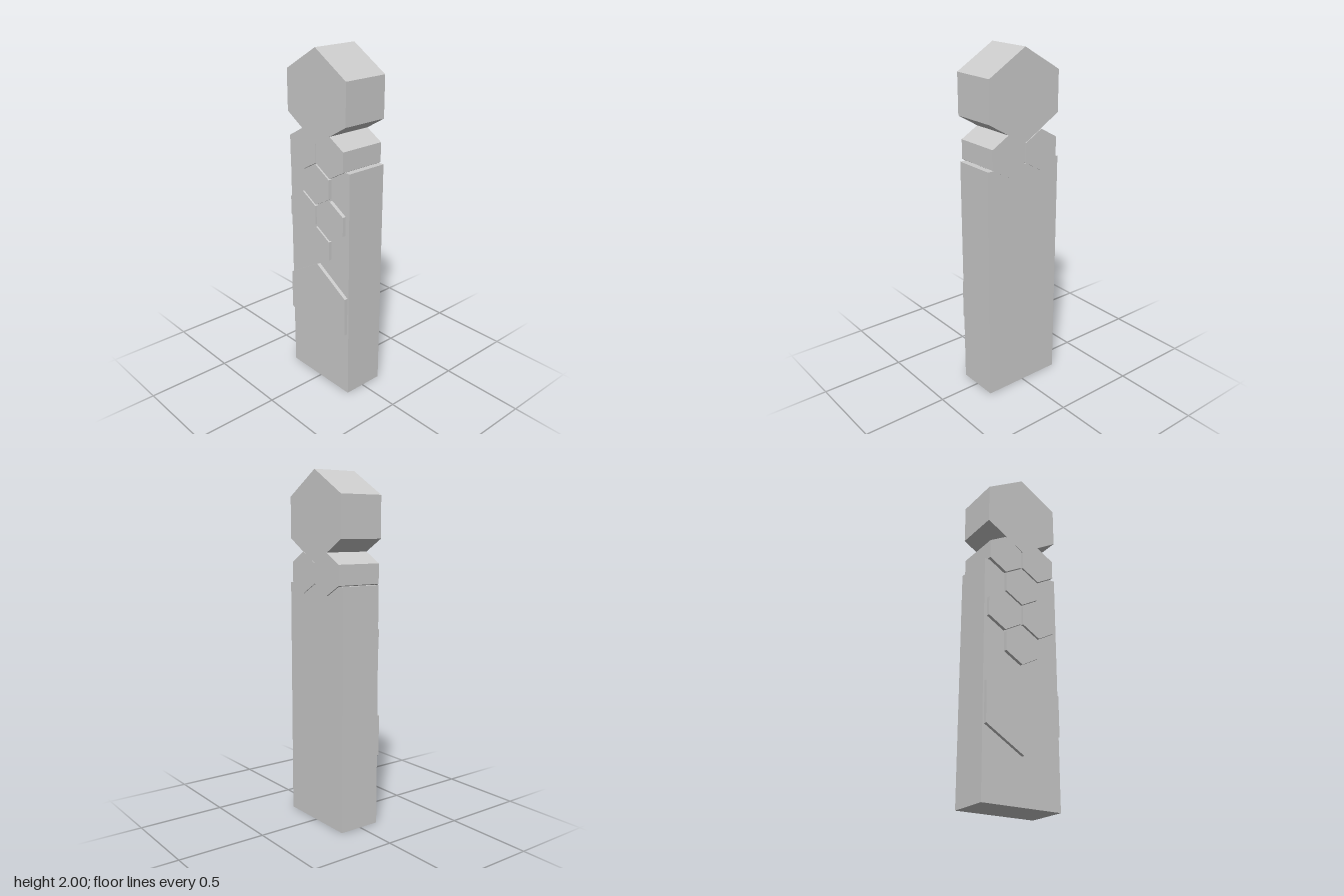
import * as THREE from 'three';

const material = new THREE.MeshStandardMaterial({ color: 0xcccccc, flatShading: true });

// Pointy-topped hexagonal prism, its axis along x from x0 to x1
function hexPrism(name, { halfWidth, halfFlat, halfHeight }, y, z, x0, x1) {
  const shape = new THREE.Shape([
    [0, -halfHeight], [halfWidth, -halfFlat], [halfWidth, halfFlat],
    [0, halfHeight], [-halfWidth, halfFlat], [-halfWidth, -halfFlat],
  ].map(([a, b]) => new THREE.Vector2(a, b)));
  const geometry = new THREE.ExtrudeGeometry(shape, { depth: x1 - x0, bevelEnabled: false });
  geometry.rotateY(Math.PI / 2);
  const mesh = new THREE.Mesh(geometry, material);
  mesh.name = name;
  mesh.position.set(x0, y, z);
  return mesh;
}

const LARGE = { halfWidth: 0.235, halfFlat: 0.117, halfHeight: 0.256 };
const SMALL = { halfWidth: 0.108, halfFlat: 0.056, halfHeight: 0.1175 };

export function createModel() {
  const model = new THREE.Group();
  model.name = 'hexagonPillar';

  // Plain rectangular post
  const post = new THREE.Mesh(new THREE.BoxGeometry(0.25, 1.376, 0.49), material);
  post.name = 'post';
  post.position.set(0.005, 0.688, 0);
  model.add(post);

  // Large head and the two small cells carrying it
  model.add(hexPrism('head', LARGE, 1.744, 0, -0.141, 0.134));
  model.add(hexPrism('frontNeckCell', SMALL, 1.437, 0.109, -0.141, 0.135));
  model.add(hexPrism('backNeckCell', SMALL, 1.437, -0.114, -0.14, 0.139));

  // Raised cells on the -x face
  const cells = new THREE.Group();
  cells.name = 'raisedCells';
  [[1.255, -0.005], [1.072, 0.109], [1.072, -0.118], [0.888, -0.005]].forEach(([y, z]) =>
    cells.add(hexPrism('smallCell', SMALL, y, z, -0.141, -0.05)));
  cells.add(hexPrism('largeCell', LARGE, 0.518, 0, -0.141, -0.05));
  model.add(cells);

  return model;
}
